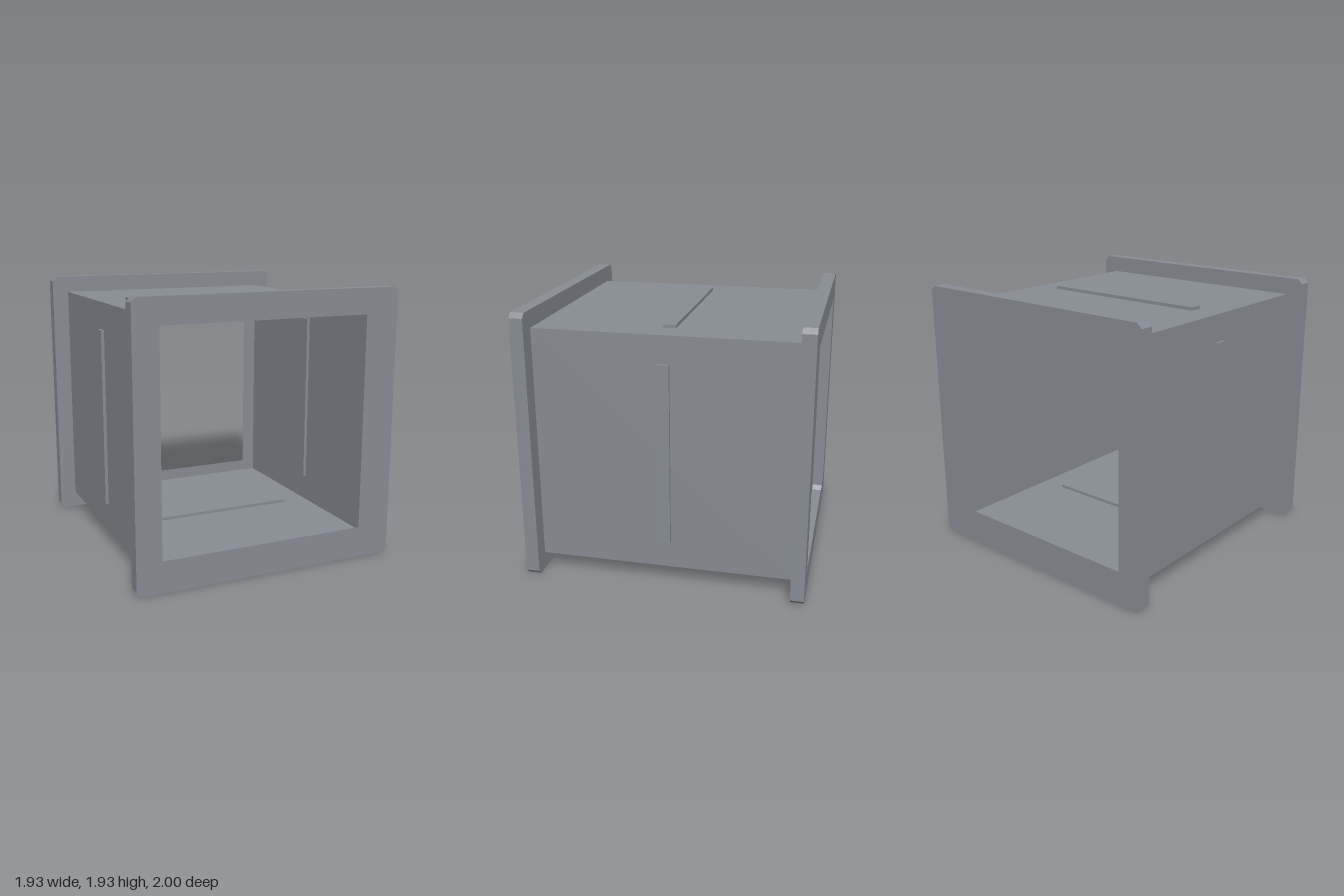
import * as THREE from 'three';

const HALF = 0.965;   // flange half size, also the height of the duct axis
const HOLE = 0.785;   // flange opening half size
const WALL = 0.843;   // duct wall half size
const CUT = 0.034;    // flange corner chamfer
const END = 1, INNER = 0.905; // flange outer and inner z

// Counter-clockwise square outline, with chamfered corners when cut > 0
function outline(h, cut = 0) {
  const pts = [];
  for (const [x, y] of [[1, -1], [1, 1], [-1, 1], [-1, -1]]) {
    if (!cut) { pts.push(new THREE.Vector2(x * h, y * h)); continue; }
    const a = new THREE.Vector2(x * (h - cut), y * h);
    const b = new THREE.Vector2(x * h, y * (h - cut));
    pts.push(...(x * y < 0 ? [a, b] : [b, a]));
  }
  return pts;
}

// Open sleeve of flat panels following an outline from z0 to z1
function sleeve(pts, z0, z1) {
  const pos = [];
  pts.forEach((a, i) => {
    const b = pts[(i + 1) % pts.length];
    pos.push(a.x, a.y, z0, b.x, b.y, z0, b.x, b.y, z1);
    pos.push(a.x, a.y, z0, b.x, b.y, z1, a.x, a.y, z1);
  });
  const geo = new THREE.BufferGeometry();
  geo.setAttribute('position', new THREE.Float32BufferAttribute(pos, 3));
  geo.computeVertexNormals();
  return geo;
}

export function createModel() {
  const metal = new THREE.MeshStandardMaterial({ color: 0x878b93, side: THREE.DoubleSide });
  metal.name = 'galvanised grey';

  const model = new THREE.Group();
  model.name = 'squareDuct';
  const add = (parent, name, geo) => {
    const mesh = new THREE.Mesh(geo, metal);
    mesh.name = name;
    parent.add(mesh);
    return mesh;
  };

  const body = new THREE.Group();
  body.name = 'ductBody';
  body.position.y = HALF;
  model.add(body);

  // Thin sheet walls, open at both ends
  add(body, 'ductWalls', sleeve(outline(WALL), -INNER, INNER));

  // Hollow flange at each end: two ring plates joined by an outer rim
  const ring = new THREE.Shape(outline(HALF, CUT));
  ring.holes.push(new THREE.Path(outline(HOLE).reverse()));
  const plate = new THREE.ShapeGeometry(ring);
  const rim = sleeve(outline(HALF, CUT), INNER, END);
  for (const [name, turn] of [['frontFlange', 0], ['backFlange', Math.PI]]) {
    const flange = new THREE.Group();
    flange.name = name;
    flange.rotation.y = turn;
    add(flange, 'flangeFace', plate).position.z = END;
    const back = add(flange, 'flangeBack', plate);
    back.position.z = INNER;
    back.rotation.y = Math.PI;
    add(flange, 'flangeRim', rim);
    body.add(flange);
  }

  // Stiffening rib through the middle of each wall
  const bar = new THREE.BoxGeometry(1.294, 0.046, 0.092);
  bar.translate(0, WALL, 0);
  ['topRib', 'leftRib', 'bottomRib', 'rightRib'].forEach((name, i) => {
    add(body, name, bar).rotation.z = -i * Math.PI / 2;
  });

  return model;
}
